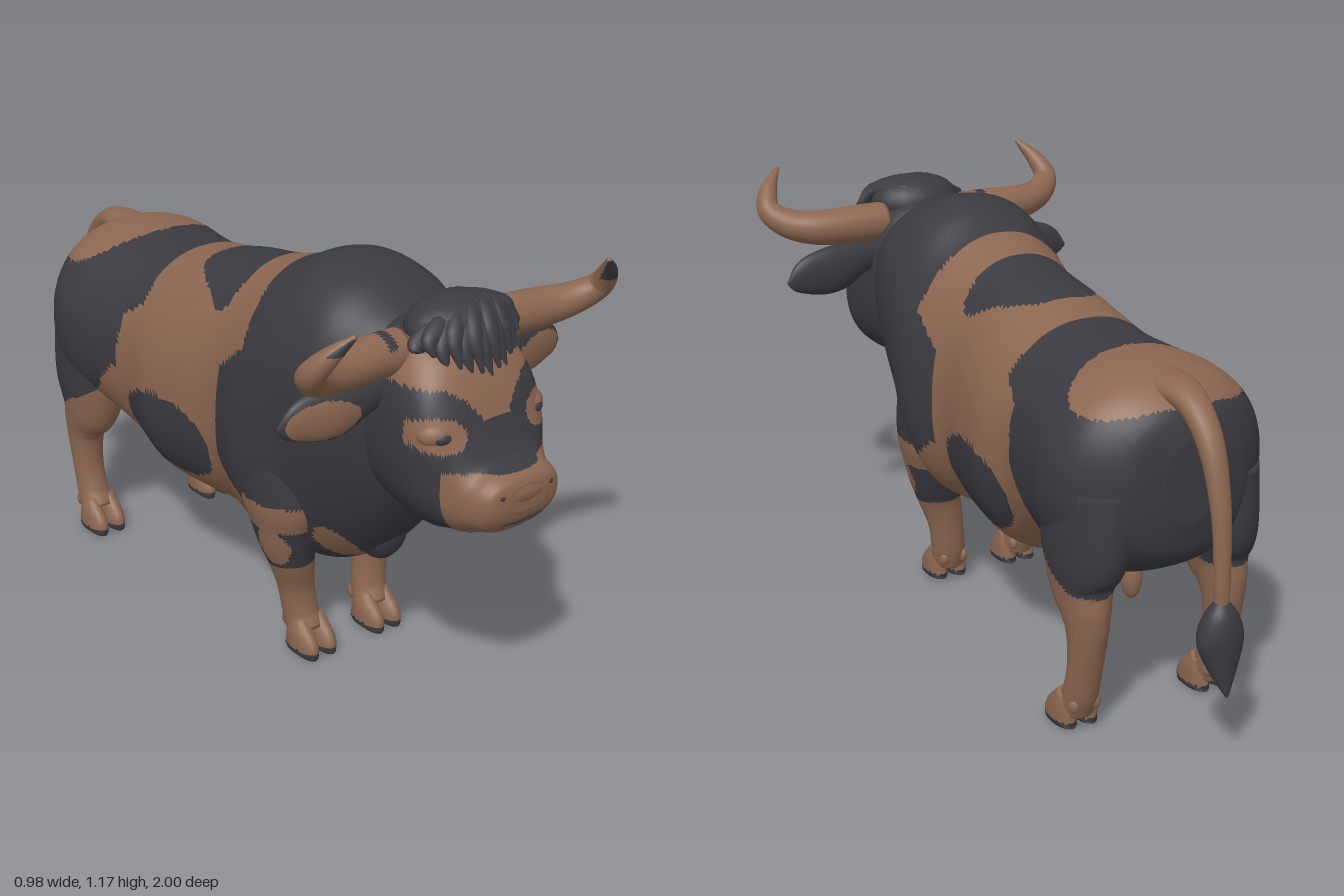
import * as THREE from 'three';

const brown = new THREE.MeshStandardMaterial({ color: 0x8b6650 });
brown.name = 'brown hide';
const dark = new THREE.MeshStandardMaterial({ color: 0x3b3a40 });
dark.name = 'charcoal hide';

const X = new THREE.Vector3(1, 0, 0), Z = new THREE.Vector3(0, 0, 1);
const hit = (a, ra, b, rb, p = 2) => Math.abs(a / ra) ** p + Math.abs(b / rb) ** p < 1;

// piecewise linear lookup in [input, output] pairs
function ramp(v, pts) {
  if (v <= pts[0][0]) return pts[0][1];
  for (let i = 1; i < pts.length; i++) {
    const [a, fa] = pts[i - 1], [b, fb] = pts[i];
    if (v <= b) return fa + (fb - fa) * (v - a) / (b - a);
  }
  return pts[pts.length - 1][1];
}

// smooth skin over rows of [x, y, z, radiusU, radiusV, lowerWidening]
function loft(rows, { n = X, t = null, rings = 24, sides = 20, power = 1 } = {}) {
  const centre = new THREE.CatmullRomCurve3(rows.map(r => new THREE.Vector3(r[0], r[1], r[2])), false, 'catmullrom');
  const size = new THREE.CatmullRomCurve3(rows.map(r => new THREE.Vector3(r[3], r[4], r[5] || 0)), false, 'catmullrom');
  const bend = (c) => Math.sign(c) * Math.abs(c) ** power;
  const pos = [], idx = [];
  for (let i = -1; i <= rings + 1; i++) {
    const k = Math.min(Math.max(i / rings, 0), 1);
    const c = centre.getPoint(k), s = size.getPoint(k);
    const closed = i < 0 || i > rings ? 0 : 1;
    const v = new THREE.Vector3().crossVectors(n, t || centre.getTangent(k)).normalize();
    for (let j = 0; j < sides; j++) {
      const a = j / sides * Math.PI * 2, sn = bend(Math.sin(a));
      const pu = closed * Math.max(s.x, 0.001) * bend(Math.cos(a)) * (1 + s.z * sn);
      const pv = closed * Math.max(s.y, 0.001) * sn;
      pos.push(c.x + n.x * pu + v.x * pv, c.y + n.y * pu + v.y * pv, c.z + n.z * pu + v.z * pv);
    }
  }
  for (let i = 0; i < rings + 2; i++) for (let j = 0; j < sides; j++) {
    const a = i * sides + j, b = i * sides + (j + 1) % sides, c = a + sides, d = b + sides;
    idx.push(a, c, b, b, c, d);
  }
  const g = new THREE.BufferGeometry();
  g.setAttribute('position', new THREE.Float32BufferAttribute(pos, 3));
  g.setIndex(idx);
  g.computeVertexNormals();
  return g;
}

// sort the faces into brown and dark groups by a rule on each face centre
function paint(g, isDark) {
  const p = g.attributes.position, idx = g.index.array, lists = [[], []];
  for (let i = 0; i < idx.length; i += 3) {
    const f = [idx[i], idx[i + 1], idx[i + 2]];
    const mean = (get) => (get(f[0]) + get(f[1]) + get(f[2])) / 3;
    const d = isDark(mean(k => p.getX(k)), mean(k => p.getY(k)), mean(k => p.getZ(k)));
    lists[d ? 1 : 0].push(...f);
  }
  g.setIndex([...lists[0], ...lists[1]]);
  g.addGroup(0, lists[0].length, 0);
  g.addGroup(lists[0].length, lists[1].length, 1);
  return g;
}

// patches on trunk and hind legs
function trunkDark(x, y, z) {
  if (z > 0.3 && hit(z - 0.43, 0.045, y - 0.365, 0.06)) return false;
  if (z > 0.55 && hit(x, 0.026, y - 0.54, 0.035, 4)) return false;
  if (z > ramp(y, [[0.45, 0.2], [0.53, 0.09], [0.78, 0.09], [0.87, 0.2], [1.1, 0.17]])) return true;
  if (hit(z + 0.15, 0.19, y - 0.495, 0.12)) return true;
  if (y > 0.81 && hit(z + 0.06, 0.125, x, Math.max(0.16 + 0.45 * (z + 0.06), 0.02), 4)) return true;
  if (y > 0.82 && hit(z + 0.64, 0.14, x, 0.23)) return false;
  return z < ramp(y, [[0.36, -0.95], [0.4, -0.68], [0.48, -0.53], [0.63, -0.38], [0.78, -0.36], [0.83, -0.29], [1, -0.3]]);
}
function foreLegDark(x, y, z) {
  if (y > 0.47) return z > ramp(y, [[0.47, 0.2], [0.54, 0.09]]);
  return y > 0.27 && y < 0.39 && !(Math.abs(x) > 0.2 && hit(z - 0.31, 0.045, y - 0.34, 0.06));
}
function headDark(x, y, z) {
  const ax = Math.abs(x);
  if (z > 0.872 && y < 0.765 && y > 0.595) return false;
  if (z > 0.775 && hit(ax - 0.155, 0.06, y - 0.848, 0.042)) return false;
  return !(z > 0.68 && y > ramp(ax, [[0.04, 0.87], [0.08, 0.92], [0.12, 0.945], [0.2, 0.95]]));
}

export function createModel() {
  const bull = new THREE.Group();
  bull.name = 'bull';
  const add = (name, geometry, material) => {
    const m = new THREE.Mesh(geometry, material);
    m.name = name;
    bull.add(m);
    return m;
  };
  const two = [brown, dark];
  const ball = (name, mat, x, y, z, rx, ry, rz) => {
    const m = add(name, new THREE.SphereGeometry(1, 20, 14), mat);
    m.position.set(x, y, z);
    m.scale.set(rx, ry, rz);
    return m;
  };

  // trunk: [z, top, bottom, half width, lower widening]
  const trunk = [[0.71, 0.97, 0.62, 0.13, 0], [0.655, 1.01, 0.53, 0.165, -0.1], [0.6, 1.045, 0.455, 0.19, -0.2],
    [0.54, 1.075, 0.385, 0.21, -0.27], [0.46, 1.11, 0.315, 0.235, -0.28], [0.36, 1.127, 0.26, 0.258, -0.16],
    [0.28, 1.112, 0.26, 0.277, 0], [0.19, 1.068, 0.275, 0.278, 0.08],
    [0.05, 1.025, 0.285, 0.247, 0.06], [-0.1, 0.995, 0.28, 0.265, 0.05], [-0.22, 0.965, 0.285, 0.277, 0.04],
    [-0.35, 0.945, 0.325, 0.262, 0], [-0.48, 0.94, 0.37, 0.28, 0], [-0.6, 0.942, 0.385, 0.297, 0],
    [-0.7, 0.925, 0.42, 0.27, 0], [-0.78, 0.87, 0.48, 0.18, 0], [-0.81, 0.79, 0.58, 0.07, 0]]
    .map(([z, a, b, w, k]) => [0, (a + b) / 2, z, w, (a - b) / 2, k]).reverse();
  add('trunk', paint(loft(trunk, { t: Z, rings: 160, sides: 124, power: 0.9 }), trunkDark), two);
  ball('dewlap', dark, 0, 0.42, 0.475, 0.055, 0.125, 0.09).rotation.x = 0.35;
  ball('sheath', brown, 0, 0.29, -0.195, 0.04, 0.05, 0.065);
  ball('udder', brown, 0, 0.33, -0.545, 0.028, 0.062, 0.032);

  // head, from the back of the skull to the nose
  const head = [[0.55, 0.82, 0.15, 0.2], [0.62, 0.82, 0.185, 0.24], [0.72, 0.81, 0.2, 0.25], [0.8, 0.785, 0.2, 0.225],
    [0.85, 0.755, 0.183, 0.182], [0.885, 0.715, 0.155, 0.138], [0.92, 0.69, 0.138, 0.095], [0.96, 0.69, 0.125, 0.08],
    [0.985, 0.7, 0.105, 0.057], [0.995, 0.705, 0.06, 0.033]].map(([z, y, w, h]) => [0, y, z, w, h]);
  add('head', paint(loft(head, { t: Z, rings: 90, sides: 100, power: 0.78 }), headDark), two);
  ball('nose', brown, 0, 0.715, 0.95, 0.12, 0.048, 0.05);
  const smile = new THREE.CatmullRomCurve3([[-0.13, 0.665, 0.925], [-0.08, 0.645, 0.972], [0, 0.641, 0.984],
    [0.08, 0.645, 0.972], [0.13, 0.665, 0.925]].map(p => new THREE.Vector3(...p)));
  add('mouth', new THREE.TubeGeometry(smile, 32, 0.004, 6), dark);

  // forelock: a cap with locks combed forward from the crown
  ball('forelockCap', dark, 0.015, 1.045, 0.7, 0.135, 0.076, 0.1);
  const slant = new THREE.Vector3(0, 0.7, 0.7).normalize();
  for (let i = 0; i < 13; i++) {
    const a = i / 6 - 1, w = i % 2 ? 0.014 : 0;
    add('forelockLock', loft([[0.06, 1.095, 0.65, 0.012, 0.015], [0.045 + 0.09 * a, 1.1 - 0.025 * a * a, 0.73, 0.02, 0.026],
      [0.015 + 0.15 * a, 1.035 + w, 0.8 - 0.06 * a * a, 0.017, 0.025],
      [0.015 + 0.16 * a, 0.95 + 0.075 * a * a + w, 0.838 - 0.08 * a * a, 0.005, 0.005]], { n: slant, rings: 14, sides: 10 }), dark);
  }

  const hornNormal = new THREE.Vector3(0, -0.55, 0.83).normalize();
  for (const s of [1, -1]) {
    const side = s > 0 ? 'left' : 'right';
    const mirrored = rows => rows.map(([x, ...rest]) => [x * s, ...rest]);

    // horn, dark on the front of the tip
    const horn = mirrored([[0.13, 1.0, 0.67, 0.055, 0.055], [0.22, 1.0, 0.67, 0.055, 0.055], [0.33, 1.0, 0.68, 0.052, 0.05],
      [0.41, 1.015, 0.71, 0.043, 0.043], [0.455, 1.05, 0.75, 0.034, 0.034], [0.44, 1.1, 0.79, 0.025, 0.025],
      [0.395, 1.155, 0.83, 0.006, 0.006]]);
    add(side + 'Horn', paint(loft(horn, { n: hornNormal, rings: 60, sides: 32 }), (x, y, z) =>
      y > (s > 0 ? 1.085 : 1.11) && y < 1.15 && z > 0.794 + (y - 1.1) * 0.73 || x < -0.17 && x > -0.197 && y > 1.025), two);

    // ear with a brown inside
    const ear = mirrored([[0.15, 0.9, 0.66, 0.02, 0.03], [0.22, 0.9, 0.655, 0.032, 0.05], [0.3, 0.882, 0.645, 0.035, 0.07],
      [0.38, 0.875, 0.635, 0.026, 0.06], [0.43, 0.865, 0.63, 0.014, 0.035], [0.455, 0.862, 0.625, 0.003, 0.005]]);
    add(side + 'Ear', paint(loft(ear, { n: Z, rings: 48, sides: 44 }),
      (x, y, z) => !(z > 0.636 && hit(Math.abs(x) - 0.345, 0.095, y - 0.869, 0.052))), two);

    // eye and nostril
    ball(side + 'Eyelid', brown, s * 0.15, 0.846, 0.83, 0.048, 0.034, 0.035).rotation.y = s * 0.5;
    ball(side + 'Eye', dark, s * 0.15, 0.843, 0.85, 0.028, 0.018, 0.02).rotation.y = s * 0.5;
    ball(side + 'Nostril', dark, s * 0.08, 0.72, 0.983, 0.014, 0.01, 0.009).rotation.y = s * 0.6;

    // legs
    const fore = mirrored([[0.17, 0.66, 0.25, 0.09, 0.12], [0.18, 0.54, 0.26, 0.09, 0.13], [0.182, 0.45, 0.275, 0.082, 0.122],
      [0.172, 0.38, 0.28, 0.076, 0.098], [0.162, 0.32, 0.285, 0.072, 0.078], [0.148, 0.26, 0.288, 0.064, 0.06],
      [0.13, 0.18, 0.285, 0.053, 0.046], [0.12, 0.1, 0.292, 0.05, 0.046], [0.115, 0.05, 0.31, 0.05, 0.05]]);
    add(side + 'ForeLeg', paint(loft(fore, { rings: 64, sides: 48 }), foreLegDark), two);
    const hind = mirrored([[0.17, 0.66, -0.62, 0.11, 0.16], [0.185, 0.5, -0.63, 0.095, 0.15], [0.195, 0.4, -0.635, 0.075, 0.112],
      [0.2, 0.33, -0.66, 0.058, 0.08], [0.2, 0.27, -0.668, 0.05, 0.06], [0.2, 0.18, -0.66, 0.046, 0.045],
      [0.2, 0.1, -0.64, 0.046, 0.046], [0.2, 0.05, -0.615, 0.05, 0.05]]);
    add(side + 'HindLeg', paint(loft(hind, { rings: 64, sides: 48 }), trunkDark), two);

    // cloven hooves with dark soles, and dewclaws
    for (const [x, z, part] of [[s * 0.115, 0.3, 'Fore'], [s * 0.2, -0.625, 'Hind']]) for (const e of [-1, 1]) {
      const tx = x + e * 0.03;
      add(side + part + 'Hoof', paint(loft([[tx, 0.09, z + 0.01, 0.018, 0.025], [tx, 0.055, z + 0.02, 0.028, 0.045],
        [tx, 0.015, z + 0.033, 0.03, 0.064], [tx, 0.0, z + 0.033, 0.028, 0.06]], { rings: 12, sides: 20 }), (a, y) => y < 0.014), two);
      ball(side + part + 'Dewclaw', brown, tx, 0.07, z - 0.032, 0.014, 0.022, 0.018);
    }
  }

  // tail and its tuft
  add('tail', loft([[0, 0.88, -0.54, 0.1, 0.04], [0, 0.897, -0.68, 0.068, 0.038], [0, 0.89, -0.79, 0.044, 0.034],
    [0, 0.81, -0.88, 0.034, 0.03], [0, 0.66, -0.933, 0.026, 0.022], [0, 0.5, -0.948, 0.021, 0.019],
    [0, 0.4, -0.95, 0.018, 0.018]], { rings: 48, sides: 20 }), brown);
  add('tailTuft', loft([[0, 0.44, -0.95, 0.016, 0.015], [0, 0.4, -0.95, 0.045, 0.038], [0, 0.34, -0.95, 0.062, 0.046],
    [0, 0.27, -0.965, 0.04, 0.03], [0, 0.2, -0.988, 0.004, 0.004]], { rings: 24, sides: 20 }), dark);
  return bull;
}
